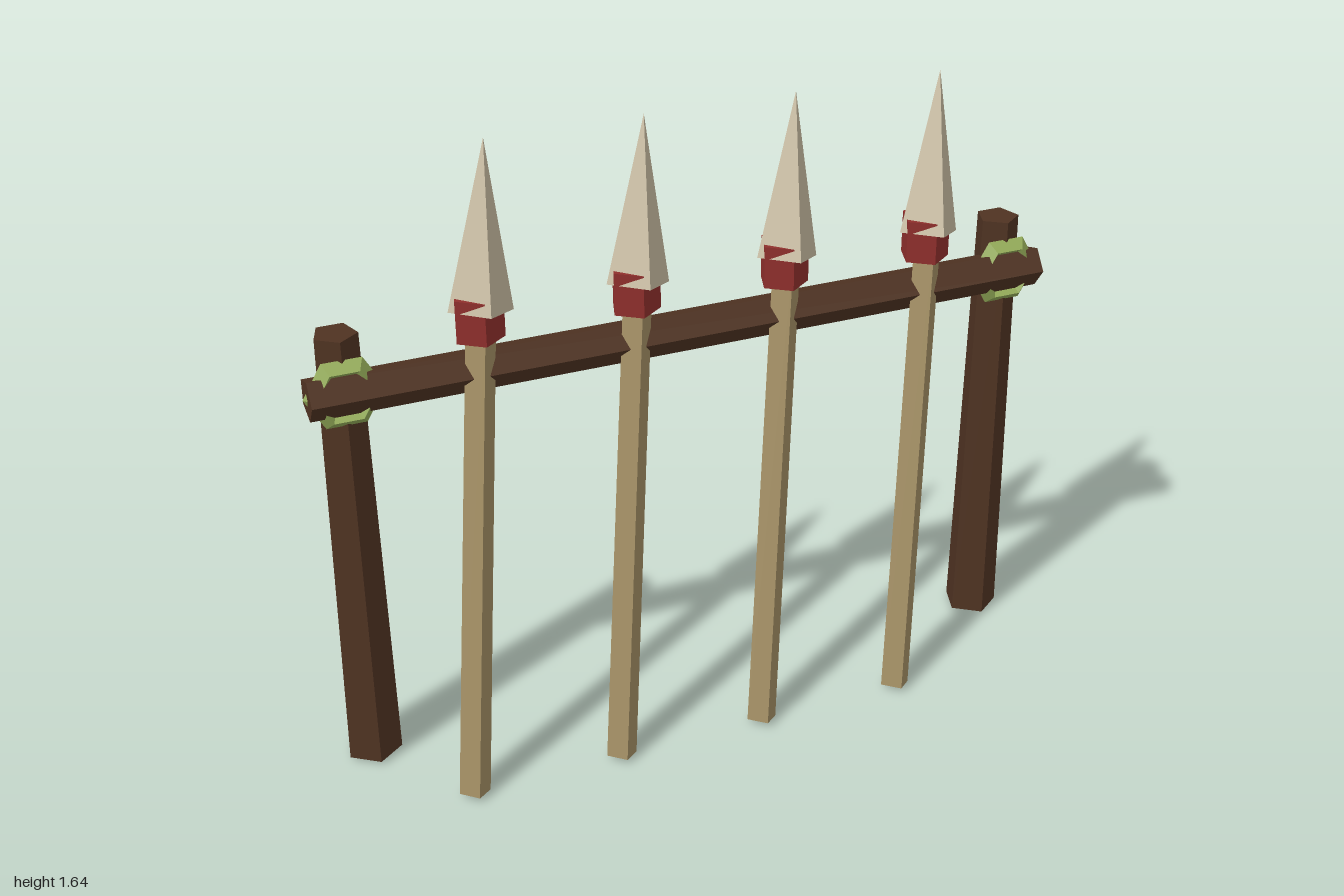
import * as THREE from 'three';

const mat = (name, color) => {
  const m = new THREE.MeshStandardMaterial({ color, flatShading: true });
  m.name = name;
  return m;
};

export function createModel() {
  const rack = new THREE.Group();
  rack.name = 'spearRack';
  const darkWood = mat('dark wood', 0x4f3322);
  const paleWood = mat('pale wood', 0xa08c62);
  const stone = mat('stone', 0xc4b89e);
  const redCloth = mat('red cloth', 0x8f2f2c);
  const vine = mat('green vine', 0x93ab58);

  const add = (parent, name, geometry, material, x, y, z) => {
    const mesh = new THREE.Mesh(geometry, material);
    mesh.name = name;
    mesh.position.set(x, y, z);
    parent.add(mesh);
    return mesh;
  };

  // Two tapered five-sided posts, each with a vine lashing in front
  const postGeo = new THREE.CylinderGeometry(0.056, 0.073, 1.21, 5);
  const lashingGeo = new THREE.TorusGeometry(0.073, 0.027, 4, 6);
  for (const side of [-1, 1]) {
    add(rack, 'post', postGeo, darkWood, side * 0.89, 0.615, -0.133);
    add(rack, 'lashing', lashingGeo, vine, side * 0.89, 1.085, -0.083);
  }

  // Five-sided crossbar with an edge facing forward
  const barGeo = new THREE.CylinderGeometry(0.055, 0.055, 1.96, 5).rotateZ(Math.PI / 2);
  add(rack, 'crossbar', barGeo, darkWood, 0, 1.085, -0.085);

  // Four spears leaning back and to the side; each is built along its own y axis
  const lean = new THREE.Vector3(0.205, 1.632, -0.3);
  const length = lean.length();
  const headLength = 0.413;
  const shaftLength = length - headLength;
  const shaftGeo = new THREE.CylinderGeometry(0.038, 0.041, shaftLength, 4);
  const headGeo = new THREE.ConeGeometry(0.082, headLength, 4);
  const bindingGeo = new THREE.CylinderGeometry(0.064, 0.064, 0.112, 5);
  const tilt = new THREE.Quaternion().setFromUnitVectors(
    new THREE.Vector3(0, 1, 0), lean.clone().normalize());

  for (let i = 0; i < 4; i++) {
    const x = -0.702 + i * 0.4;
    const spear = new THREE.Group();
    spear.name = 'spear';
    spear.position.set(x, 0.009, 0.149);
    spear.quaternion.copy(tilt);
    add(spear, 'shaft', shaftGeo, paleWood, 0, shaftLength / 2, 0);
    add(spear, 'spearhead', headGeo, stone, 0, shaftLength + headLength / 2, 0);
    rack.add(spear);
    // Upright binding whose rear corners show through the spearhead
    add(rack, 'binding', bindingGeo, redCloth, x + 0.147, 1.225, -0.082);
  }
  return rack;
}
